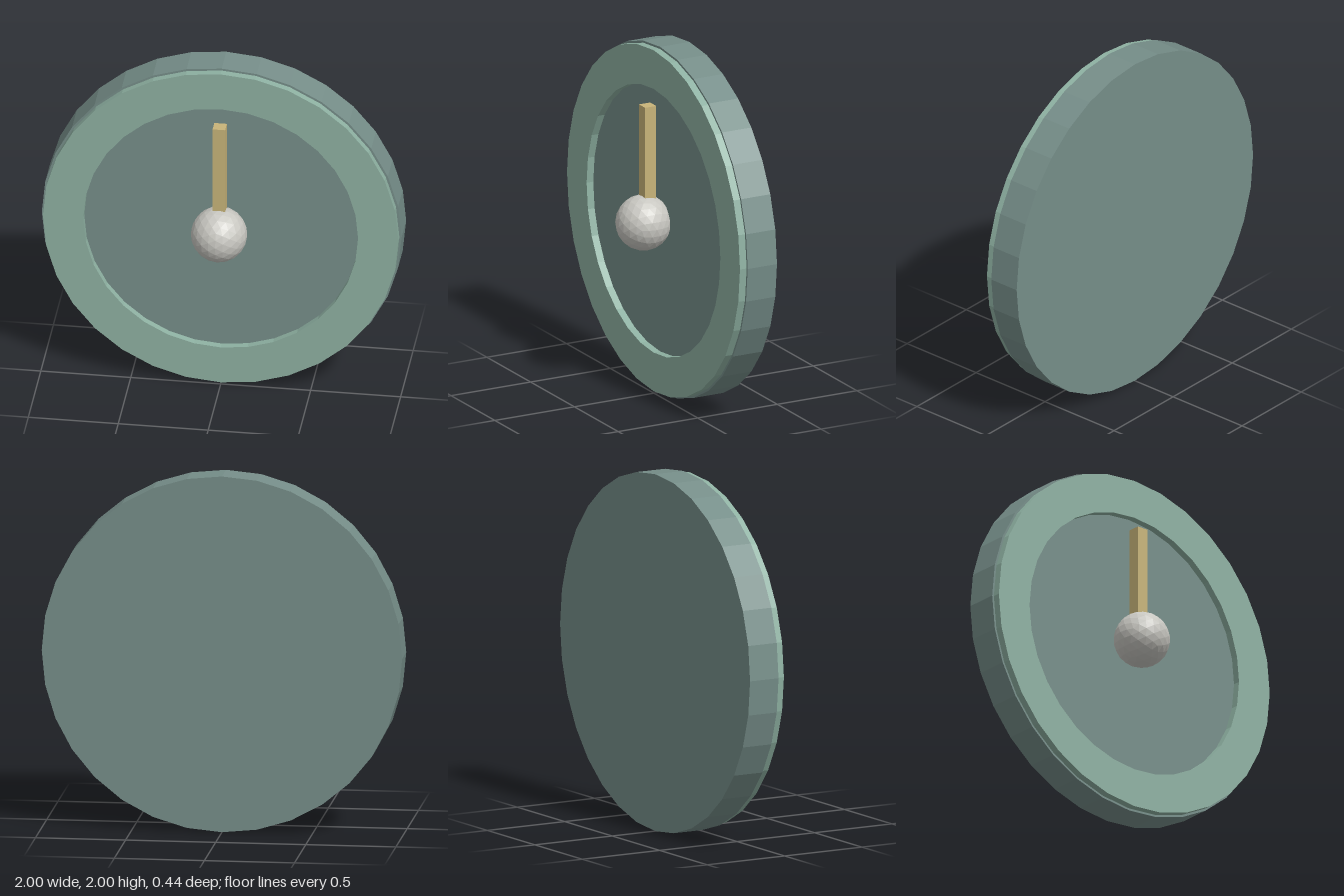
import * as THREE from 'three';

const SIDES = 32;

function material(name, color) {
  return new THREE.MeshStandardMaterial({ name, color, flatShading: true });
}

export function createModel() {
  const model = new THREE.Group();
  model.name = 'dial';

  const add = (name, geometry, mat, y, z) => {
    const mesh = new THREE.Mesh(geometry, mat);
    mesh.name = name;
    mesh.position.set(0, y, z);
    model.add(mesh);
  };

  // Thick backing disc, its axis along z
  const disc = new THREE.CylinderGeometry(1, 1, 0.184, SIDES).rotateX(Math.PI / 2);
  add('backingDisc', disc, material('dark grey green', 0x768e89), 1, -0.131);

  // Raised flat rim around the recessed face
  const [inner, outer, depth] = [0.764, 0.988, 0.042];
  const profile = [[inner, 0], [outer, 0], [outer, depth], [inner, depth], [inner, 0]]
    .map(([r, h]) => new THREE.Vector2(r, h));
  const rim = new THREE.LatheGeometry(profile, SIDES).rotateX(Math.PI / 2);
  add('rim', rim, material('pale green', 0x8eb1a2), 1, -0.039);

  // Square pointer rising from the hub
  add('pointer', new THREE.BoxGeometry(0.07, 0.675, 0.07),
    material('brass', 0xc8b479), 1.3375, 0.04);

  // Faceted ball at the centre
  add('hubBall', new THREE.IcosahedronGeometry(0.156, 3),
    material('light grey', 0xc8c7c1), 1, 0.066);

  return model;
}
